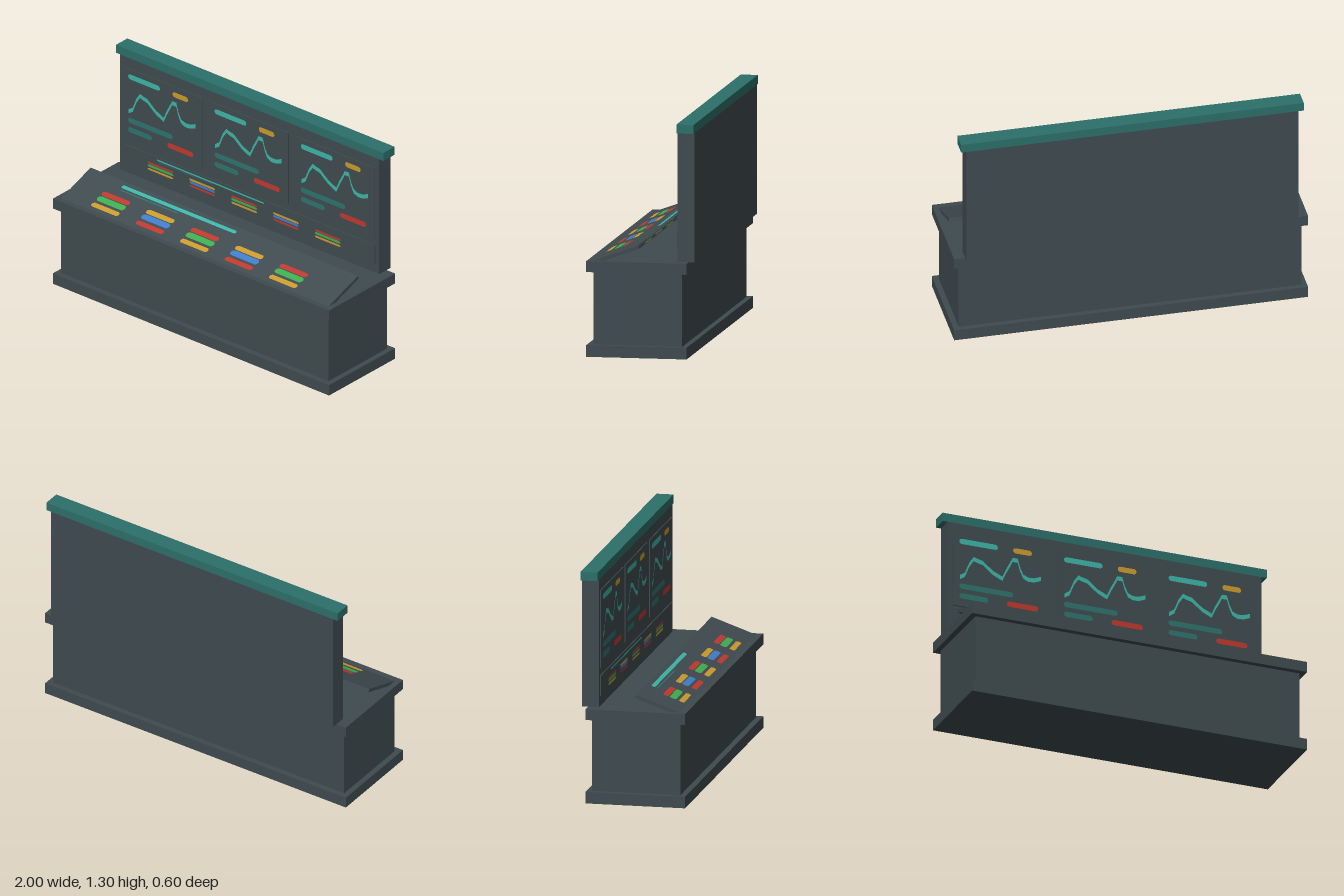
import * as THREE from 'three';

const mat = (name, color, extra = {}) => {
  const m = new THREE.MeshStandardMaterial({ color, ...extra });
  m.name = name;
  return m;
};

export function createModel() {
  const M = {
    body: mat('slateGrey', 0x3f4b4f),
    cap: mat('deepTeal', 0x2c6f6a),
    teal: mat('brightTeal', 0x3db5a8),
    dim: mat('dimTeal', 0x2d736f),
    red: mat('red', 0xbf392f),
    yellow: mat('amber', 0xcb9b2d),
    green: mat('green', 0x3fae50),
    blue: mat('blue', 0x3f7dca),
  };
  const root = new THREE.Group();
  root.name = 'controlConsole';

  // Box given by its extents
  function box(name, x0, x1, y0, y1, z0, z1, material = M.body, parent = root) {
    const mesh = new THREE.Mesh(new THREE.BoxGeometry(x1 - x0, y1 - y0, z1 - z0), material);
    mesh.position.set((x0 + x1) / 2, (y0 + y1) / 2, (z0 + z1) / 2);
    mesh.name = name;
    parent.add(mesh);
    return mesh;
  }

  // Flat bar with rounded ends, facing +z
  function pill(name, x0, x1, y0, y1, material, parent) {
    const ry = (y1 - y0) / 2, rx = Math.min(0.016, (x1 - x0) / 2), cy = (y0 + y1) / 2;
    const s = new THREE.Shape();
    s.absellipse(x1 - rx, cy, rx, ry, -Math.PI / 2, Math.PI / 2, false);
    s.absellipse(x0 + rx, cy, rx, ry, Math.PI / 2, Math.PI * 1.5, false);
    const mesh = new THREE.Mesh(new THREE.ShapeGeometry(s, 6), material);
    mesh.position.z = 0.003;
    mesh.name = name;
    parent.add(mesh);
  }

  // Rows of buttons and status lines, fitted to a face of the given size
  function controls(name, width, height) {
    const g = new THREE.Group();
    g.name = name;
    const sx = width / 1.936;
    const row = (n, x0, x1, f0, f1, m) =>
      pill(n, x0 * sx, x1 * sx, (0.5 - f1) * height, (0.5 - f0) * height, m, g);
    row('statusLine', -0.708, 0.12, 0.10, 0.18, M.teal);
    row('statusSubline', -0.70, -0.275, 0.22, 0.245, M.dim);
    const rows = [[0.40, 0.515], [0.535, 0.67], [0.73, 0.84]];
    const sets = [[M.red, M.green, M.yellow], [M.yellow, M.blue, M.red]];
    for (let i = 0; i < 5; i++) {
      const x = -0.778 + i * 0.322;
      rows.forEach(([a, b], r) => row('button', x, x + 0.198, a, b, sets[i % 2][r]));
    }
    return g;
  }

  // Cabinet
  box('plinth', -1, 1, 0, 0.065, -0.263, 0.30);
  box('cabinet', -0.968, 0.968, 0.065, 0.472, -0.232, 0.266);
  box('countertop', -1, 1, 0.472, 0.533, -0.263, 0.30);

  // Upright display wall
  box('displayWall', -0.938, 0.938, 0.533, 1.253, -0.296, -0.20);
  box('wallCap', -0.968, 0.968, 1.253, 1.303, -0.296, -0.20, M.cap);

  // Graph trace, relative to the screen centre in x
  const trace = [
    [-0.244, 0.925], [-0.214, 0.945], [-0.188, 1.01], [-0.161, 1.05], [-0.14, 1.042],
    [-0.108, 1.035], [-0.08, 1.012], [-0.045, 0.985], [0.01, 0.96], [0.032, 1.01],
    [0.056, 1.055], [0.071, 1.086], [0.101, 1.086], [0.116, 1.035], [0.135, 0.995],
    [0.165, 0.982], [0.2, 0.984], [0.239, 1.0],
  ];
  const h = 0.013;
  const ribbon = new THREE.Shape([
    ...trace.map(([x, y]) => new THREE.Vector2(x, y - h)),
    ...trace.slice().reverse().map(([x, y]) => new THREE.Vector2(x, y + h)),
  ]);

  // Three wall screens
  for (const cx of [-0.625, 0, 0.625]) {
    const g = new THREE.Group();
    g.name = 'screen';
    g.position.set(cx, 0, -0.194);
    box('screenPanel', -0.284, 0.284, 0.75, 1.19, -0.008, 0, M.body, g);
    pill('titleBar', -0.247, -0.017, 1.128, 1.16, M.teal, g);
    pill('amberTag', 0.074, 0.186, 1.128, 1.16, M.yellow, g);
    pill('longReadout', -0.247, 0.074, 0.856, 0.888, M.dim, g);
    pill('shortReadout', -0.247, -0.075, 0.797, 0.829, M.dim, g);
    pill('alertBar', 0.037, 0.224, 0.797, 0.829, M.red, g);
    const line = new THREE.Mesh(new THREE.ShapeGeometry(ribbon), M.teal);
    line.name = 'graphTrace';
    line.position.z = 0.003;
    g.add(line);
    root.add(g);
  }

  // Low control strip under the screens
  box('controlStrip', -0.91, 0.91, 0.59, 0.707, -0.202, -0.194);
  const strip = controls('stripControls', 1.82, 0.117);
  strip.position.set(0, 0.6485, -0.194);
  root.add(strip);

  // Sloping desk panel, its front edge sunk into the countertop
  const desk = new THREE.Group();
  desk.name = 'slopingDesk';
  desk.position.set(0, 0.574, 0.151);
  desk.rotation.x = -1.229;
  box('deskPanel', -0.968, 0.968, -0.1435, 0.1435, -0.02, 0, M.body, desk);
  desk.add(controls('deskControls', 1.936, 0.287));
  const edge = controls('rearEdgeLights', 1.936, 0.02);
  edge.position.set(0, 0.1415, -0.01);
  edge.rotation.set(-Math.PI / 2, 0, Math.PI);
  desk.add(edge);
  root.add(desk);

  return root;
}
